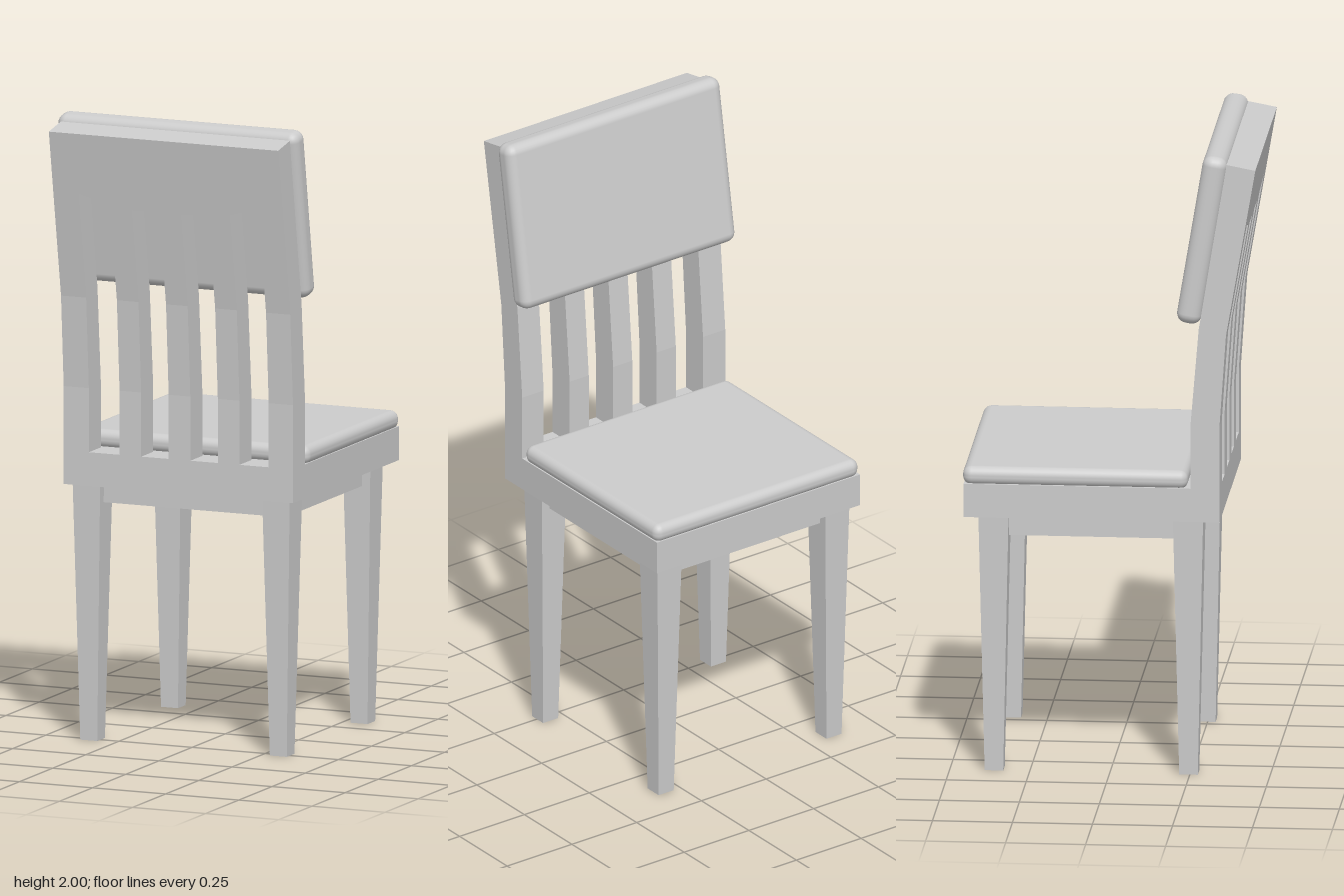
import * as THREE from 'three';
import { RoundedBoxGeometry } from 'three/addons/geometries/RoundedBoxGeometry.js';

const smooth = new THREE.MeshStandardMaterial({ color: 0xcccccc });
const flat = new THREE.MeshStandardMaterial({ color: 0xcccccc, flatShading: true });

// Curved side profile of the backrest as [z, y]
const FRONT = [[0.255, 0.927], [0.255, 1.14], [0.28, 1.44], [0.366, 1.972]];
const BACK = [[0.345, 0.927], [0.345, 1.13], [0.365, 1.42], [0.457, 1.955]];

// z on a profile line at height y
function zAt(line, y) {
  let i = 0;
  while (i < line.length - 2 && y > line[i + 1][1]) i++;
  const [z0, y0] = line[i], [z1, y1] = line[i + 1];
  return z0 + (z1 - z0) * (y - y0) / (y1 - y0);
}

export function createModel() {
  const chair = new THREE.Group();
  chair.name = 'chair';

  function add(name, geometry, x = 0, y = 0, z = 0, material = flat) {
    const mesh = new THREE.Mesh(geometry, material);
    mesh.name = name;
    mesh.position.set(x, y, z);
    chair.add(mesh);
    return mesh;
  }

  // Upright: the side profile, cut off at height top, extruded from x0 to x1
  function addPost(name, x0, x1, top) {
    const cut = (line) => {
      const kept = line.filter((p) => p[1] < top);
      return kept.length < line.length ? [...kept, [zAt(line, top), top]] : kept;
    };
    const outline = [...cut(FRONT), ...cut(BACK).reverse()];
    const shape = new THREE.Shape(outline.map(([z, y]) => new THREE.Vector2(-z, y)));
    const geometry = new THREE.ExtrudeGeometry(shape, { depth: x1 - x0, bevelEnabled: false });
    geometry.rotateY(Math.PI / 2);
    add(name, geometry, x0);
  }

  // Seat frame and cushion
  add('seatFrame', new THREE.BoxGeometry(0.784, 0.107, 0.8), -0.004, 0.8735, -0.055);
  add('seatCushion', new RoundedBoxGeometry(0.788, 0.06, 0.703, 3, 0.027), -0.002, 0.95, -0.107, smooth);

  // Tapered square legs joined by apron rails
  const legX = [-0.342, 0.306], legZ = [-0.362, 0.246];
  const midX = (legX[0] + legX[1]) / 2, midZ = (legZ[0] + legZ[1]) / 2;
  for (const x of legX) {
    for (const z of legZ) {
      const leg = new THREE.CylinderGeometry(0.094 / Math.SQRT2, 0.058 / Math.SQRT2, 0.82, 4);
      leg.rotateY(Math.PI / 4);
      add(z < 0 ? 'frontLeg' : 'backLeg', leg, x, 0.41, z);
    }
    add('sideApron', new THREE.BoxGeometry(0.035, 0.064, 0.52), x, 0.788, midZ);
  }
  for (const z of legZ) add('crossApron', new THREE.BoxGeometry(0.56, 0.064, 0.035), midX, 0.788, z);

  // Backrest: two full-height posts and three slats
  addPost('backPost', -0.396, -0.31, 3);
  addPost('backPost', 0.305, 0.388, 3);
  for (const x of [-0.168, 0, 0.168]) addPost('backSlat', x - 0.037, x + 0.037, 1.72);

  // Top rail with a slanted lower edge, laid onto the leaning profile
  const edge = [[-0.31, 1.76], [-0.205, 1.73], [-0.205, 1.72], [0.205, 1.72], [0.205, 1.73], [0.305, 1.76]];
  const railShape = new THREE.Shape(
    [...edge, [0.305, 1.955], [-0.31, 1.955]].map(([x, y]) => new THREE.Vector2(x, y)));
  const rail = new THREE.ExtrudeGeometry(railShape, { depth: 1, bevelEnabled: false });
  const pos = rail.attributes.position;
  for (let i = 0; i < pos.count; i++) {
    const t = pos.getZ(i);
    const y = pos.getY(i) + (pos.getY(i) > 1.9 ? (1 - t) * 0.017 : 0);
    pos.setY(i, y);
    pos.setZ(i, THREE.MathUtils.lerp(zAt(FRONT, y), zAt(BACK, y), t));
  }
  rail.computeVertexNormals();
  add('topRail', rail);

  // Leaning back cushion
  const pad = new RoundedBoxGeometry(0.825, 0.545, 0.078, 3, 0.031);
  add('backCushion', pad, -0.002, 1.727, 0.29, smooth).rotation.x = 0.165;

  return chair;
}
